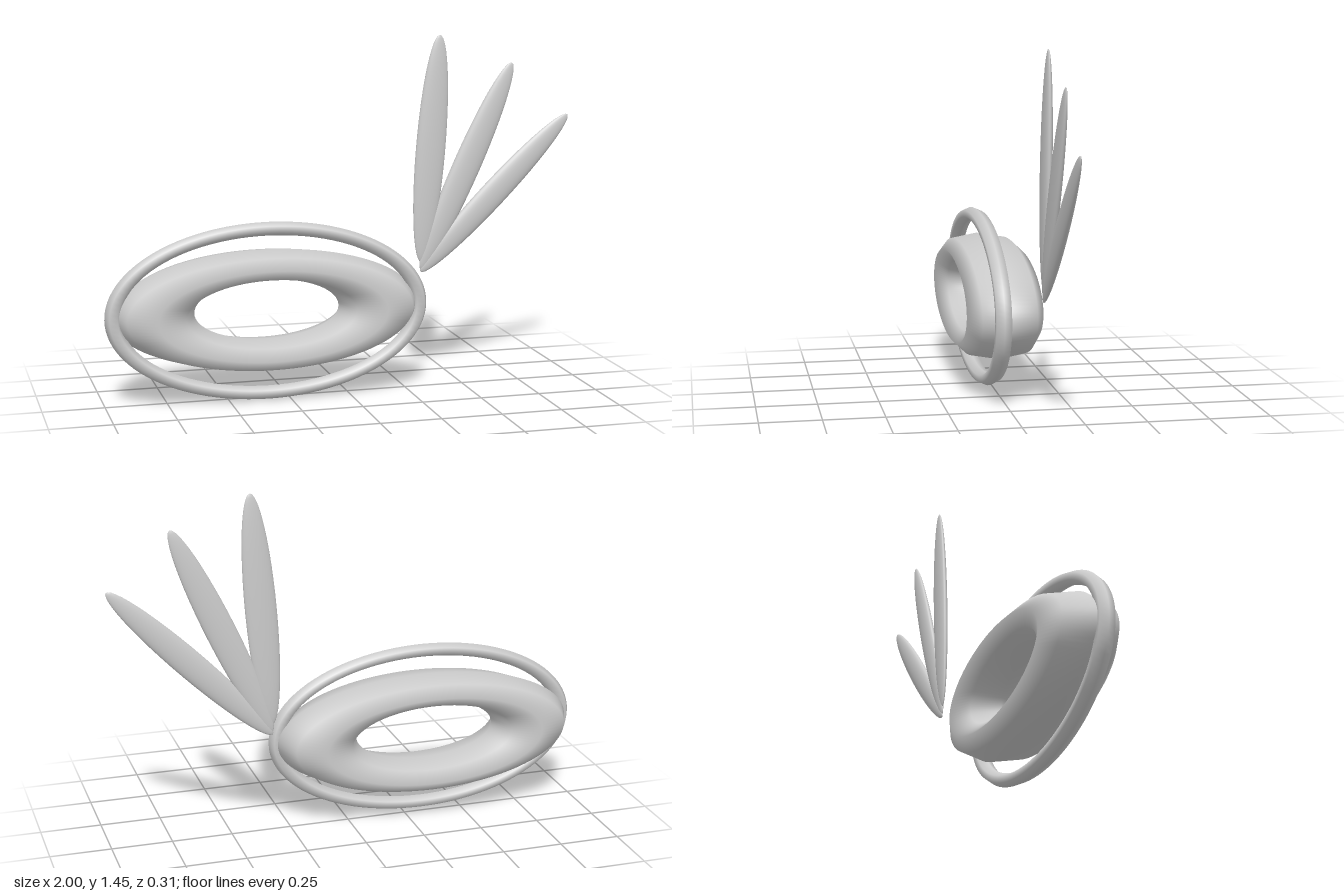
import * as THREE from 'three';

const material = new THREE.MeshStandardMaterial({ color: 0xcccccc });

// Oval ring: a torus whose path and tube have their own x, y and z radii
function ovalRing(name, path, tube, sides, z) {
  const geometry = new THREE.TorusGeometry(2, 1, sides, 96);
  const pos = geometry.attributes.position;
  for (let i = 0; i < pos.count; i++) {
    const x = pos.getX(i), y = pos.getY(i);
    const length = Math.hypot(x, y);
    const out = length - 2;
    pos.setXYZ(
      i,
      (x / length) * (path[0] + out * tube[0]),
      (y / length) * (path[1] + out * tube[1]),
      pos.getZ(i) * tube[2]
    );
  }
  // Smooth normals from the squashed tube's gradient, joined at the seams
  const n = geometry.attributes.normal;
  for (let i = 0; i < n.count; i++) {
    const stride = 97;
    const u = ((i % stride) / 96) * Math.PI * 2;
    const v = (Math.floor(i / stride) / sides) * Math.PI * 2;
    const rx = path[0] + tube[0] * Math.cos(v), ry = path[1] + tube[1] * Math.cos(v);
    const du = new THREE.Vector3(-rx * Math.sin(u), ry * Math.cos(u), 0);
    const dv = new THREE.Vector3(
      -tube[0] * Math.sin(v) * Math.cos(u),
      -tube[1] * Math.sin(v) * Math.sin(u),
      tube[2] * Math.cos(v)
    );
    const normal = du.cross(dv).normalize();
    n.setXYZ(i, normal.x, normal.y, normal.z);
  }
  const mesh = new THREE.Mesh(geometry, material);
  mesh.name = name;
  mesh.position.set(-0.335, 0.37, z);
  return mesh;
}

// Thin flattened ellipsoid leaning towards +x
function feather(name, x, y, halfLength, halfWidth, lean) {
  const mesh = new THREE.Mesh(new THREE.SphereGeometry(1, 32, 24), material);
  mesh.name = name;
  mesh.scale.set(halfWidth, halfLength, 0.021);
  mesh.position.set(x, y, -0.112);
  mesh.rotation.z = -THREE.MathUtils.degToRad(lean);
  return mesh;
}

export function createModel() {
  const model = new THREE.Group();
  model.name = 'ringWithFeathers';

  // Thick body ring with a slim rim around it
  model.add(ovalRing('bodyRing', [0.467, 0.184], [0.168, 0.062, 0.157], 8, 0));
  model.add(ovalRing('outerRim', [0.632, 0.337], [0.033, 0.028, 0.036], 6, 0.036));

  // Fan of three feathers
  const fan = new THREE.Group();
  fan.name = 'featherFan';
  fan.add(feather('uprightFeather', 0.391, 0.983, 0.477, 0.064, 4.5));
  fan.add(feather('middleFeather', 0.549, 0.907, 0.473, 0.06, 24.5));
  fan.add(feather('lowFeather', 0.674, 0.79, 0.457, 0.056, 45));
  model.add(fan);

  return model;
}
